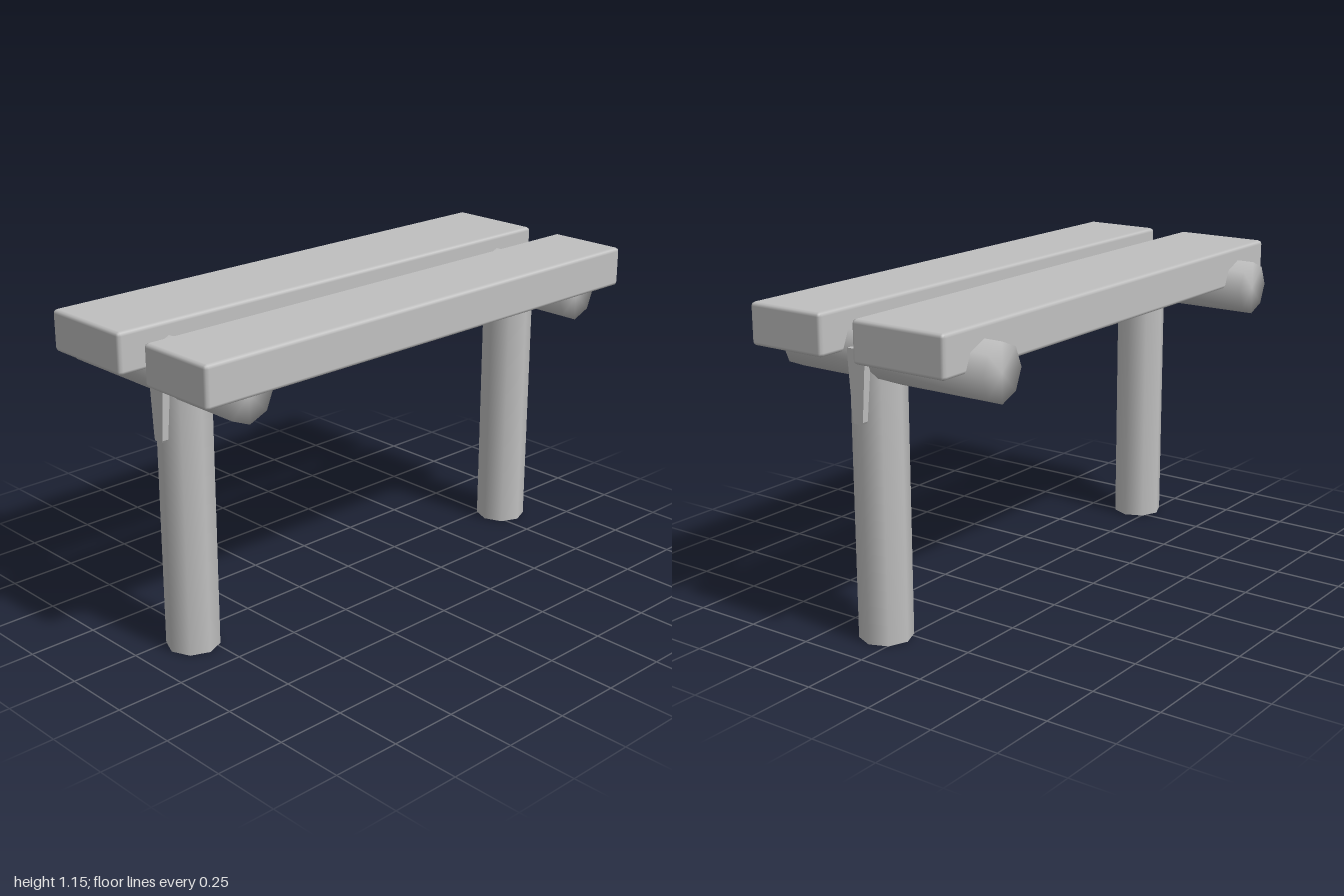
import * as THREE from 'three';
import { mergeVertices } from 'three/addons/utils/BufferGeometryUtils.js';
import { RoundedBoxGeometry } from 'three/addons/geometries/RoundedBoxGeometry.js';

// Share vertices so shading flows over every edge
function smooth(geometry) {
  geometry.deleteAttribute('normal');
  geometry.deleteAttribute('uv');
  const merged = mergeVertices(geometry, 1e-4);
  merged.computeVertexNormals();
  return merged;
}

export function createModel() {
  const model = new THREE.Group();
  model.name = 'bench';
  const grey = new THREE.MeshStandardMaterial({ color: 0xc0c0c0, side: THREE.DoubleSide });
  grey.name = 'grey';

  const add = (parent, name, geometry, x, y, z) => {
    const mesh = new THREE.Mesh(geometry, grey);
    mesh.name = name;
    mesh.position.set(x, y, z);
    parent.add(mesh);
    return mesh;
  };

  // Two seat planks with small chamfers; the back one is wider
  const plank = (name, zBack, zFront) => add(model, name,
    new RoundedBoxGeometry(2, 0.147, zFront - zBack, 1, 0.014), 0, 1.0765, (zBack + zFront) / 2);
  plank('frontPlank', 0.129, 0.436);
  plank('backPlank', -0.371, -0.003);

  // Tapered wedge outline, narrow at the bottom
  const wedgeShape = new THREE.Shape([
    [-0.036, 0.125], [0.036, 0.125], [0.038, 0.115], [0.021, -0.117],
    [0.016, -0.125], [-0.016, -0.125], [-0.021, -0.117], [-0.038, 0.115],
  ].map(([x, y]) => new THREE.Vector2(x, y)));
  const wedgeGeometry = new THREE.ExtrudeGeometry(wedgeShape, { depth: 0.06, bevelEnabled: false });

  // Log geometry: capped eight-sided beam, open eight-sided post
  const beamGeometry = smooth(new THREE.CylinderGeometry(0.1, 0.1, 0.834, 8).rotateX(Math.PI / 2));
  const legGeometry = new THREE.CylinderGeometry(0.094, 0.094, 0.98, 8, 1, true);

  for (const side of [-1, 1]) {
    const support = new THREE.Group();
    support.name = side > 0 ? 'leftSupport' : 'rightSupport';
    support.position.x = side * 0.8;
    model.add(support);

    add(support, 'crossBeam', beamGeometry, 0, 1, -0.021);
    add(support, 'leg', legGeometry, 0, 0.49, 0.063);
    // Wedge on the outer face of the joint
    const wedge = add(support, 'wedge', wedgeGeometry, side * 0.049, 0.901, 0.063);
    wedge.rotation.y = side * Math.PI / 2;
  }
  return model;
}
